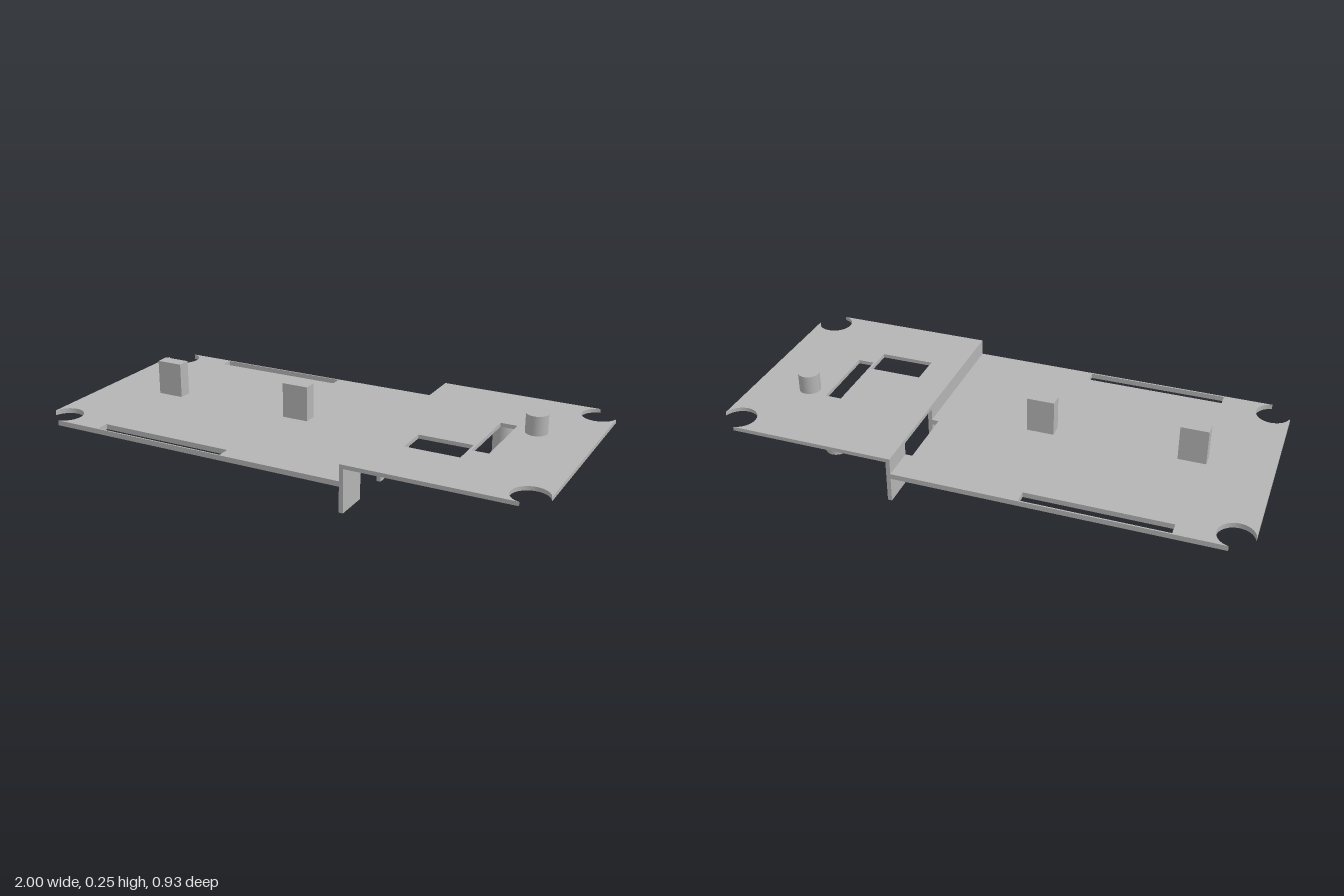
import * as THREE from 'three';
import { toCreasedNormals } from 'three/addons/utils/BufferGeometryUtils.js';

const HALF_W = 0.463; // half width of both plates
const STEP_X = 0.289; // where the lower plate meets the step wall
const WALL_T = 0.016;
const LOW_TOP = 0.116, LOW_T = 0.02;
const HIGH_TOP = 0.179, HIGH_T = 0.015;

const vecs = (pts) => pts.map(([x, y]) => new THREE.Vector2(x, y));
const rect = (x0, x1, y0, y1) => [[x0, y0], [x1, y0], [x1, y1], [x0, y1]];

// Open round bite at an outer corner: points from the long edge to the end edge
function cornerBite(side, zSign) {
  const cx = 0.933, cz = 0.397, r = 0.067, n = 32, pts = [];
  for (let i = 0; i <= n; i++) {
    const a = THREE.MathUtils.degToRad(102 + (246 * i) / n);
    pts.push([side * (cx + r * Math.cos(a)), zSign * (cz + r * Math.sin(a))]);
  }
  return pts;
}

function extrude(outline, holes, depth) {
  const shape = new THREE.Shape(vecs(outline));
  holes.forEach((h) => shape.holes.push(new THREE.Path(vecs(h))));
  const geo = new THREE.ExtrudeGeometry(shape, { depth, bevelEnabled: false });
  return toCreasedNormals(geo, 0.5);
}

// Horizontal plate with bitten outer corners; innerEdge runs from -z to +z
function plateGeometry(side, innerEdge, holes, top, thickness) {
  const outline = [
    ...innerEdge,
    ...cornerBite(side, 1),
    ...cornerBite(side, -1).reverse(),
  ];
  return extrude(outline, holes, thickness).rotateX(Math.PI / 2).translate(0, top, 0);
}

export function createModel() {
  const model = new THREE.Group();
  model.name = 'steppedBracketPlate';
  const metal = new THREE.MeshStandardMaterial({ color: 0xb4b4b4 });
  metal.name = 'plainGrey';

  const add = (name, geo, x = 0, y = 0, z = 0) => {
    const mesh = new THREE.Mesh(geo, metal);
    mesh.name = name;
    mesh.position.set(x, y, z);
    model.add(mesh);
  };

  // Lower plate: relief at the step and a long slot along each side
  const lowerEdge = [
    [STEP_X, -HALF_W], [STEP_X, -0.33], [0.262, -0.33],
    [0.262, -0.083], [STEP_X, -0.083], [STEP_X, HALF_W],
  ];
  const sideSlots = [rect(-0.73, -0.19, 0.408, 0.457), rect(-0.73, -0.19, -0.457, -0.408)];
  add('lowerPlate', plateGeometry(-1, lowerEdge, sideSlots, LOW_TOP, LOW_T));

  // Upper plate with two rectangular windows
  const upperEdge = [[STEP_X, -HALF_W], [STEP_X, HALF_W]];
  const windows = [rect(0.417, 0.626, 0.096, 0.22), rect(0.636, 0.7, -0.15, 0.142)];
  add('upperPlate', plateGeometry(1, upperEdge, windows, HIGH_TOP, HIGH_T));

  // Step wall with two notches open at the bottom, drawn as (z, y)
  const wallTop = HIGH_TOP - HIGH_T;
  const wall = extrude([
    [-HALF_W, 0], [-0.33, 0], [-0.33, wallTop - 0.0005], [-0.081, wallTop - 0.0005], [-0.081, 0],
    [0.167, 0], [0.167, 0.096], [0.332, 0.096], [0.332, 0],
    [HALF_W, 0], [HALF_W, wallTop], [-HALF_W, wallTop],
  ], [], WALL_T).rotateY(-Math.PI / 2);
  add('stepWall', wall, STEP_X + WALL_T);

  // Upright blocks on the lower plate
  const blockH = 0.253 - LOW_TOP;
  for (const x of [-0.704, -0.127]) {
    add('uprightBlock', new THREE.BoxGeometry(0.105, blockH, 0.052), x, LOW_TOP + blockH / 2, 0);
  }

  // Round pegs above and below the upper plate
  const peg = (name, x, z, y0, y1) =>
    add(name, new THREE.CylinderGeometry(0.041, 0.041, y1 - y0, 48), x, (y0 + y1) / 2, z);
  peg('upperPeg', 0.78, -0.123, HIGH_TOP, 0.253);
  peg('lowerPeg', 0.617, -0.247, 0.013, wallTop);

  return model;
}
